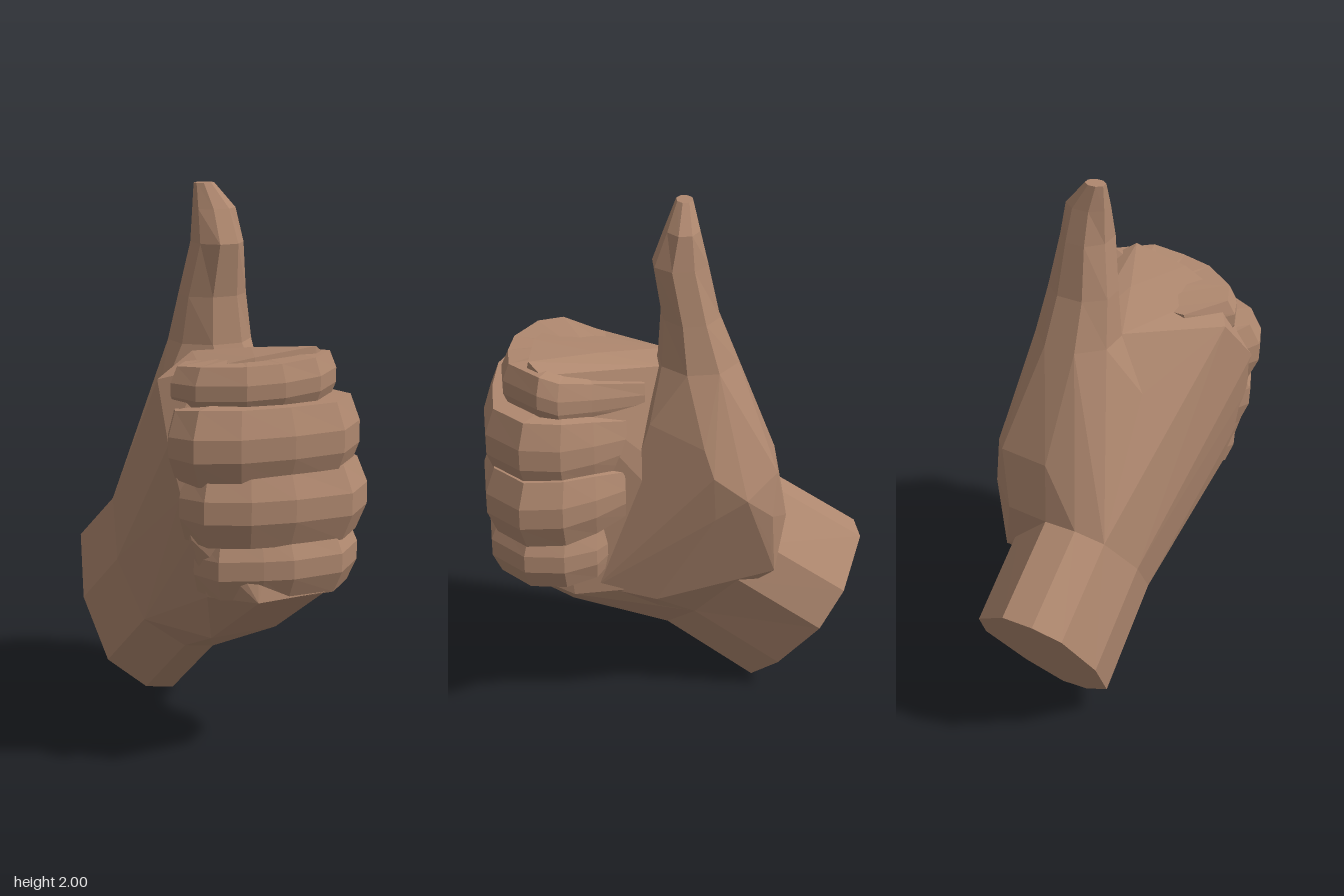
import * as THREE from 'three';
import { ConvexGeometry } from 'three/addons/geometries/ConvexGeometry.js';

const skin = new THREE.MeshStandardMaterial({ color: 0xaf886f });
skin.name = 'skin';

const V = (x, y, z) => new THREE.Vector3(x, y, z);

// Faceted skin over a list of equal-sized point rings, closed at both ends.
function loft(rings) {
  const tris = [];
  const n = rings[0].length;
  for (let i = 0; i < rings.length - 1; i++) {
    for (let j = 0; j < n; j++) {
      const k = (j + 1) % n;
      const a = rings[i][j], b = rings[i][k], c = rings[i + 1][k], d = rings[i + 1][j];
      tris.push([a, b, c], [a, c, d]);
    }
  }
  const last = rings[rings.length - 1];
  for (let j = 1; j < n - 1; j++) {
    tris.push([rings[0][0], rings[0][j + 1], rings[0][j]], [last[0], last[j], last[j + 1]]);
  }
  // turn the faces outward if the enclosed volume is negative
  const volume = tris.reduce((s, [a, b, c]) => s + a.dot(b.clone().cross(c)), 0);
  if (volume < 0) tris.forEach((t) => t.reverse());
  const geometry = new THREE.BufferGeometry().setFromPoints(tris.flat());
  geometry.computeVertexNormals();
  return geometry;
}

function mesh(name, geometry) {
  const m = new THREE.Mesh(geometry, skin);
  m.name = name;
  return m;
}

// Wrist section: pairs of x and height fraction on a slanted plane.
const wristOutline = [
  [0.04, 0], [-0.07, 0.03], [-0.2, 0.21], [-0.235, 0.57], [-0.18, 0.92],
  [-0.08, 1], [0.04, 1], [0.2, 0.78], [0.235, 0.55], [0.15, 0.21],
];
const wristRing = (y0, y1, z0, z1) =>
  wristOutline.map(([x, t]) => V(x, y0 + (y1 - y0) * t, z0 + (z1 - z0) * t));

// Thumb section: eight-sided, between x and z limits.
function thumbRing([y, x0, x1, z0, z1]) {
  const ring = [];
  for (let i = 0; i < 8; i++) {
    const a = ((i + 0.5) / 8) * Math.PI * 2;
    const c = Math.cos(a) / 0.924, s = Math.sin(a) / 0.924;
    ring.push(V((x0 + x1) / 2 + c * (x1 - x0) / 2, y, (z0 + z1) / 2 + s * (z1 - z0) / 2));
  }
  return ring;
}

// Curled finger: wraps from the knuckle across the front to the tip on +x.
function finger({ yl, yr, tipY, h, xl, xr, zl, zf, tipZ }) {
  const ym = (yl + yr) / 2;
  const stations = [
    // outer x, outer z, inner x, inner z, y, half height
    [xl + 0.12, 0.24, -0.08, 0.24, yl, h * 0.7],
    [xl, zl - 0.1, -0.08, 0.33, yl, h * 0.9],
    [xl + 0.04, zl, -0.05, 0.38, yl, h],
    [xl + 0.18, zf - 0.03, -0.03, 0.4, (yl + ym) / 2, h],
    [0, zf, 0, 0.4, ym, h],
    [xr - 0.14, zf, 0.08, 0.42, yr, h],
    [xr - 0.01, zf - 0.11, 0.1, 0.41, yr, h],
    [xr, 0.44, 0.1, 0.37, (yr * 2 + tipY) / 3, h],
    [xr - 0.05, 0.32, 0.08, 0.31, (yr + tipY * 2) / 3, h * 0.9],
    [xr - 0.12, tipZ, 0.08, tipZ, tipY, h * 0.7],
  ];
  const section = [[1, 0.3], [1, -0.3], [0.88, -1], [0, -1], [0, 1], [0.88, 1]];
  return loft(stations.map(([ox, oz, ix, iz, y, hh]) =>
    section.map(([t, s]) => V(ix + (ox - ix) * t, y + s * hh, iz + (oz - iz) * t))));
}

export function createModel() {
  const group = new THREE.Group();
  group.name = 'thumbsUpHand';

  // Wrist stub with its flat cut end
  const wristEnd = wristRing(0, 0.61, -0.29, -0.695);
  const wristTop = wristRing(0.28, 0.83, 0.04, -0.39);
  group.add(mesh('wrist', loft([wristEnd, wristTop])));

  // Points where the back of the hand meets the thumb
  const seam = [V(-0.15, 1.22, -0.02), V(-0.07, 0.93, -0.28), V(-0.18, 0.7, -0.24)];

  // Palm, back of the hand and top of the fist
  group.add(mesh('palm', new ConvexGeometry([
    ...wristTop, ...seam,
    V(-0.16, 0.46, 0.4), V(0.1, 0.46, 0.4), V(0.21, 0.55, 0.4),
    V(-0.12, 0.66, 0.66), V(0.14, 0.66, 0.66), V(-0.24, 0.66, 0.52),
    V(-0.3, 0.87, 0.52), V(-0.325, 1.0, 0.48), V(-0.355, 1.19, 0.46),
    V(-0.315, 1.38, 0.3), V(-0.32, 1.1, 0.28), V(-0.26, 1.0, 0.12),
    V(-0.22, 1.43, 0.44), V(-0.05, 1.465, 0.5), V(0.17, 1.49, 0.53), V(0.22, 1.46, 0.49),
    V(0.06, 1.455, 0.28), V(0.1, 1.41, 0.06), V(-0.04, 1.41, 0.03),
  ])));

  // Upright thumb: y, x limits, z limits
  const thumb = [
    [1.43, -0.06, 0.225, -0.2, 0.07],
    [1.6, -0.04, 0.195, -0.135, 0.06],
    [1.79, -0.01, 0.165, -0.095, 0.09],
    [1.91, -0.005, 0.145, -0.068, 0.045],
    [2, 0, 0.07, -0.05, 0.005],
  ].map(thumbRing);
  group.add(mesh('thumb', loft(thumb)));

  // Fleshy base of the thumb
  group.add(mesh('thumbBase', new ConvexGeometry([
    ...thumb[0], ...wristTop, ...seam,
    V(0.34, 1.08, -0.09), V(0.34, 0.98, -0.21), V(0.32, 0.9, -0.1), V(0.31, 1.18, -0.06),
    V(0.29, 0.88, -0.31), V(0.25, 1.04, -0.33), V(0.06, 1.04, -0.35),
    V(0.2, 0.83, -0.375), V(0.04, 0.83, -0.39), V(0.27, 0.74, -0.31), V(0.245, 0.62, -0.33),
    V(0.24, 0.66, -0.14), V(0.22, 0.51, 0.1), V(0.21, 0.58, 0.32),
    V(0.21, 0.9, 0.21), V(0.21, 1.24, 0.12),
  ])));

  // Four curled fingers, from top to bottom
  const fingers = {
    indexFinger: { yl: 1.36, yr: 1.38, tipY: 1.31, h: 0.085, xl: -0.31, xr: 0.275, zl: 0.49, zf: 0.62, tipZ: 0.13 },
    middleFinger: { yl: 1.19, yr: 1.19, tipY: 1.16, h: 0.13, xl: -0.37, xr: 0.33, zl: 0.59, zf: 0.69, tipZ: 0.2 },
    ringFinger: { yl: 0.98, yr: 0.97, tipY: 0.97, h: 0.13, xl: -0.335, xr: 0.36, zl: 0.6, zf: 0.7, tipZ: 0.21 },
    littleFinger: { yl: 0.77, yr: 0.765, tipY: 0.74, h: 0.11, xl: -0.28, xr: 0.33, zl: 0.6, zf: 0.69, tipZ: 0.27 },
  };
  for (const [name, shape] of Object.entries(fingers)) group.add(mesh(name, finger(shape)));

  return group;
}
